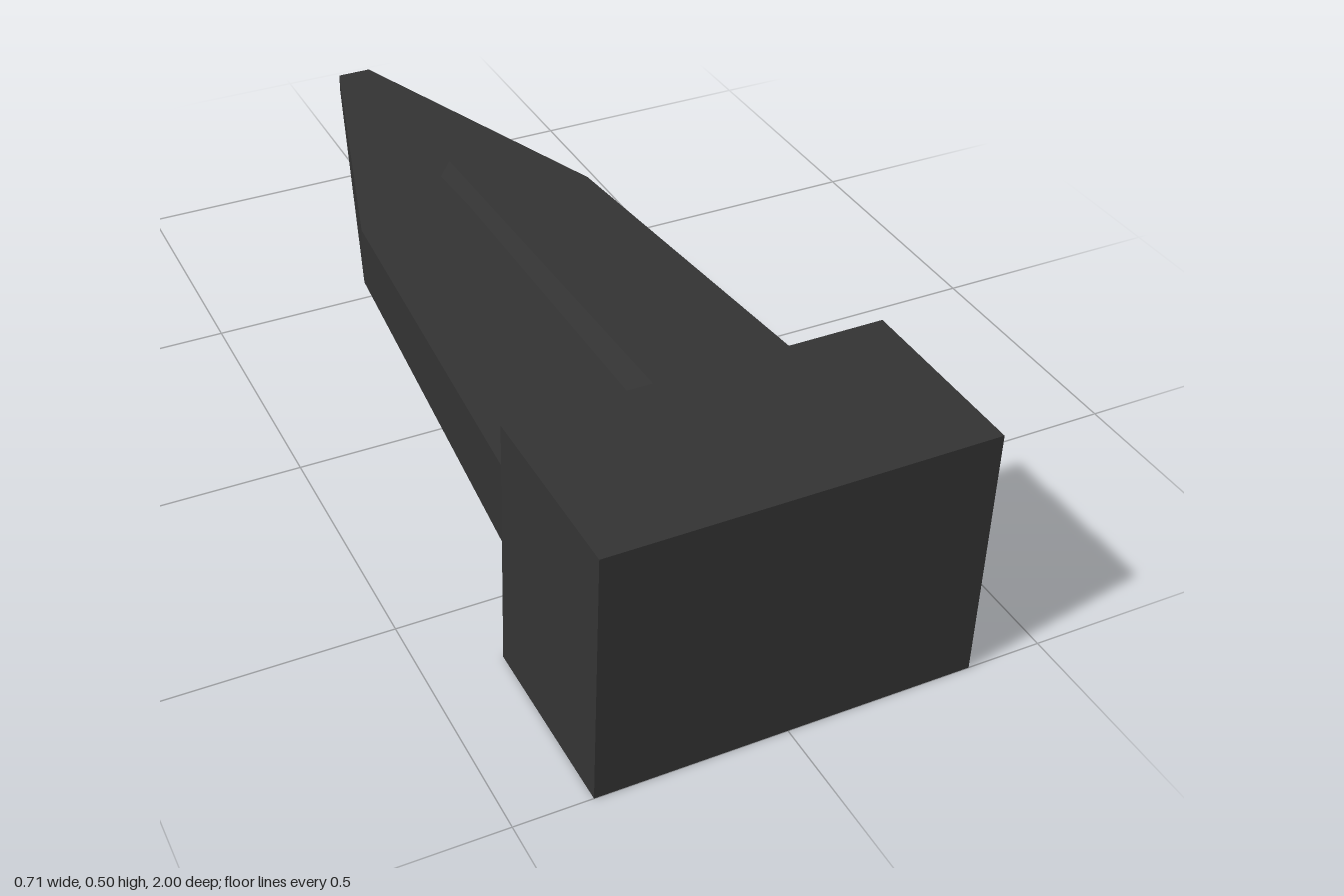
import * as THREE from 'three';

const MID_Y = 0.25;

// Closed solid lofted through four-cornered sections, ordered from back to front.
// Each section is { z, corners: [[x, y] x 4] }, counter-clockwise seen from the front.
function loft(sections) {
  const positions = [];
  const point = (s, i) => [s.corners[i % 4][0], s.corners[i % 4][1], s.z];
  const quad = (a, b, c, d) => positions.push(...a, ...b, ...c, ...a, ...c, ...d);
  for (let k = 0; k < sections.length - 1; k++) {
    const back = sections[k], front = sections[k + 1];
    for (let i = 0; i < 4; i++) {
      quad(point(back, i), point(back, i + 1), point(front, i + 1), point(front, i));
    }
  }
  const first = sections[0], last = sections[sections.length - 1];
  quad(point(last, 0), point(last, 1), point(last, 2), point(last, 3));
  quad(point(first, 3), point(first, 2), point(first, 1), point(first, 0));
  const geometry = new THREE.BufferGeometry();
  geometry.setAttribute('position', new THREE.Float32BufferAttribute(positions, 3));
  geometry.computeVertexNormals();
  return geometry;
}

const rectangle = (z, w, h) => ({ z, corners: [[-w, -h], [w, -h], [w, h], [-w, h]] });
const diamond = (z, w, h) => ({ z, corners: [[0, -h], [w, 0], [0, h], [-w, 0]] });

export function createModel() {
  const model = new THREE.Group();
  model.name = 'spike';
  const darkMetal = new THREE.MeshStandardMaterial({ color: 0x333333, flatShading: true });
  darkMetal.name = 'dark metal';

  const add = (name, geometry, z = 0) => {
    const mesh = new THREE.Mesh(geometry, darkMetal);
    mesh.name = name;
    mesh.position.set(0, MID_Y, z);
    model.add(mesh);
  };

  // Heavy block at the front
  add('baseBlock', new THREE.BoxGeometry(0.714, 0.5, 0.357), 0.8215);

  // Flat blade narrowing to a blunt tip
  add('blade', loft([
    rectangle(-1, 0.036, 0.02),
    rectangle(-0.286, 0.25, 0.062),
    rectangle(0.643, 0.321, 0.086),
  ]));

  // Tapered diamond bar through the blade, forming a ridge above and below
  add('centerRidge', loft([
    diamond(-0.429, 0.053, 0.085),
    diamond(0.643, 0.08, 0.128),
  ]));

  return model;
}
